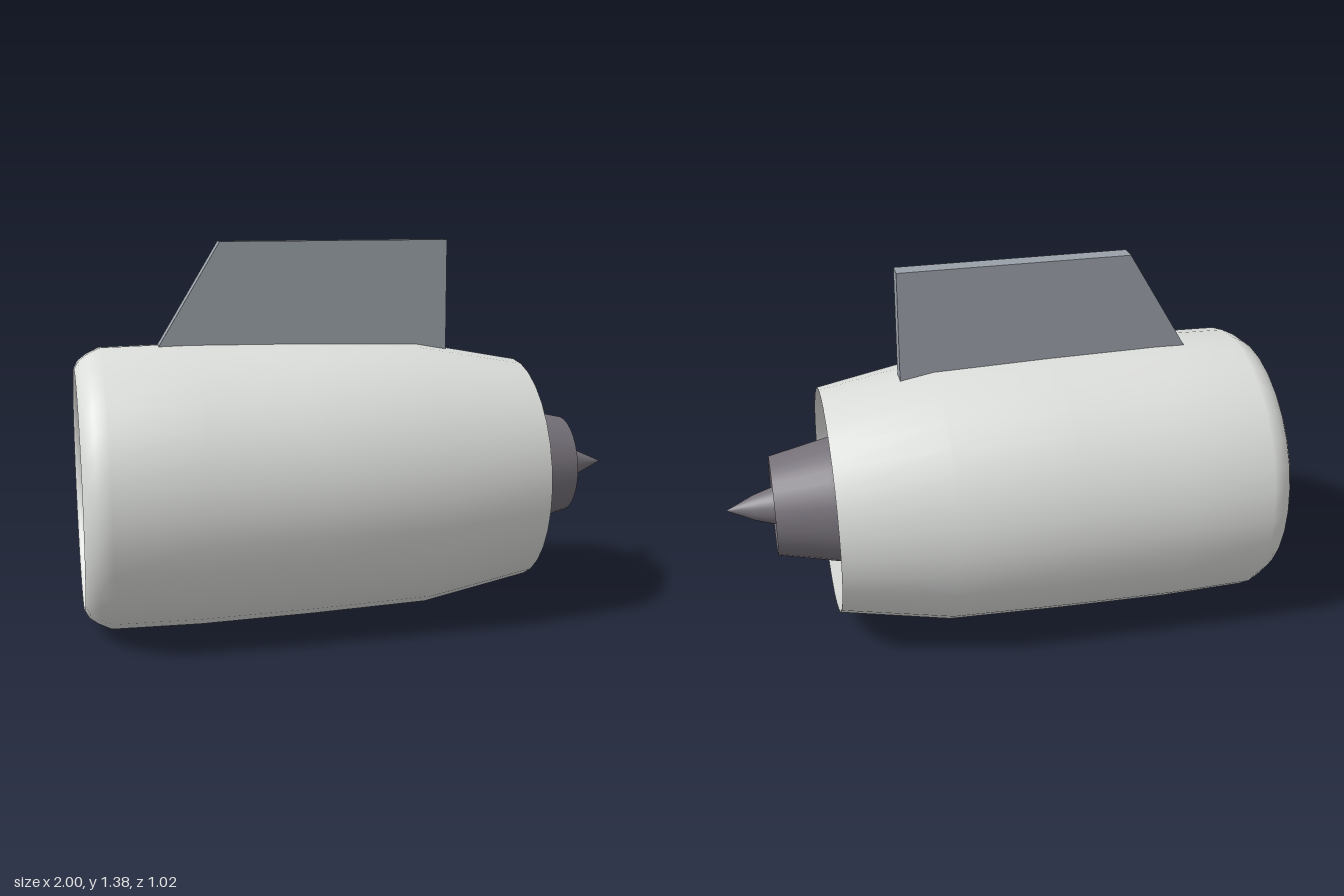
import * as THREE from 'three';
import { mergeGeometries } from 'three/addons/utils/BufferGeometryUtils.js';

const AXIS_Y = 0.508;

function material(name, color, side = THREE.FrontSide) {
  const m = new THREE.MeshStandardMaterial({ color, side });
  m.name = name;
  return m;
}

export function createModel() {
  const white = material('nacelleWhite', 0xdcdedb, THREE.DoubleSide);
  const lining = material('liningBlueGrey', 0xb9bfc8, THREE.DoubleSide);
  const core = material('coreGrey', 0x77727a, THREE.DoubleSide);
  const fan = material('fanGrey', 0x6c6a72);
  const bronze = material('bronze', 0x8c7b58, THREE.DoubleSide);
  const pylonGrey = material('pylonGrey', 0x9aa0a8);

  const model = new THREE.Group();
  model.name = 'jetEngine';
  const engine = new THREE.Group();
  engine.name = 'engineBody';
  engine.position.y = AXIS_Y;
  model.add(engine);

  function add(name, geometry, mat, parent = engine) {
    const mesh = new THREE.Mesh(geometry, mat);
    mesh.name = name;
    parent.add(mesh);
    return mesh;
  }

  // Turned part about the x axis; profile is a list of [x, radius]
  function turned(name, profile, mat, segments = 32) {
    const g = new THREE.LatheGeometry(profile.map(([x, r]) => new THREE.Vector2(r, x)), segments);
    g.rotateZ(-Math.PI / 2);
    return add(name, g, mat);
  }

  // Ring of flat blades, pitched about their radial axis
  function bladeRing(name, count, x, rIn, rOut, chord, thickness, pitch, mat) {
    const blades = [];
    for (let i = 0; i < count; i++) {
      const b = new THREE.BoxGeometry(chord, rOut - rIn, thickness);
      b.rotateY(pitch);
      b.translate(x, (rIn + rOut) / 2, 0);
      b.rotateX((i + 0.5) / count * Math.PI * 2);
      blades.push(b);
    }
    return add(name, mergeGeometries(blades), mat);
  }

  // Nacelle: outer skin with rounded lip, intake lining and rear duct
  turned('nacelleSkin', [[-1, 0.43], [-0.985, 0.458], [-0.955, 0.48], [-0.91, 0.502],
    [-0.6, 0.508], [-0.2, 0.502], [0.23, 0.49], [0.63, 0.415]], white);
  turned('intakeLip', [[-0.93, 0.42], [-0.965, 0.41], [-0.99, 0.415], [-1, 0.43]], white);
  turned('intakeLining', [[-0.4, 0.422], [-0.93, 0.422]], lining);
  turned('bypassDuct', [[0.63, 0.412], [0.23, 0.46], [-0.4, 0.422]], white);

  // Fan and spinner
  bladeRing('fanBlades', 22, -0.66, 0.09, 0.413, 0.13, 0.022, THREE.MathUtils.degToRad(40), fan);
  turned('spinner', [[-0.82, 0], [-0.8, 0.04], [-0.76, 0.08], [-0.7, 0.11], [-0.6, 0.12]], core);
  turned('fanShaft', [[-0.6, 0.12], [-0.3, 0.12]], core);

  // Core casing
  turned('coreFrontFace', [[-0.3, 0], [-0.3, 0.33]], core);
  turned('coreCasing', [[-0.3, 0.33], [0.1, 0.33]], bronze);
  turned('coreTaper', [[0.1, 0.33], [0.42, 0.27]], bronze);
  turned('exhaustNozzle', [[0.42, 0.272], [0.63, 0.226], [0.83, 0.182]], core);

  // Turbine and tail cone
  turned('turbineBackplate', [[0.46, 0], [0.46, 0.258]], core);
  bladeRing('turbineBlades', 32, 0.52, 0.14, 0.238, 0.05, 0.012, THREE.MathUtils.degToRad(40), pylonGrey);
  turned('tailCone', [[0.46, 0.167], [0.56, 0.165], [0.66, 0.135], [0.76, 0.092],
    [0.83, 0.068], [0.9, 0.046], [1, 0]], core);

  // Mounting pylon
  const outline = new THREE.Shape([[-0.72, 0.99], [0.35, 0.91], [0.35, 1.375], [-0.485, 1.375]]
    .map(([x, y]) => new THREE.Vector2(x, y)));
  const pylon = new THREE.ExtrudeGeometry(outline, { depth: 0.062, bevelEnabled: false });
  pylon.translate(0, 0, -0.031);
  add('pylon', pylon, pylonGrey, model);

  return model;
}
